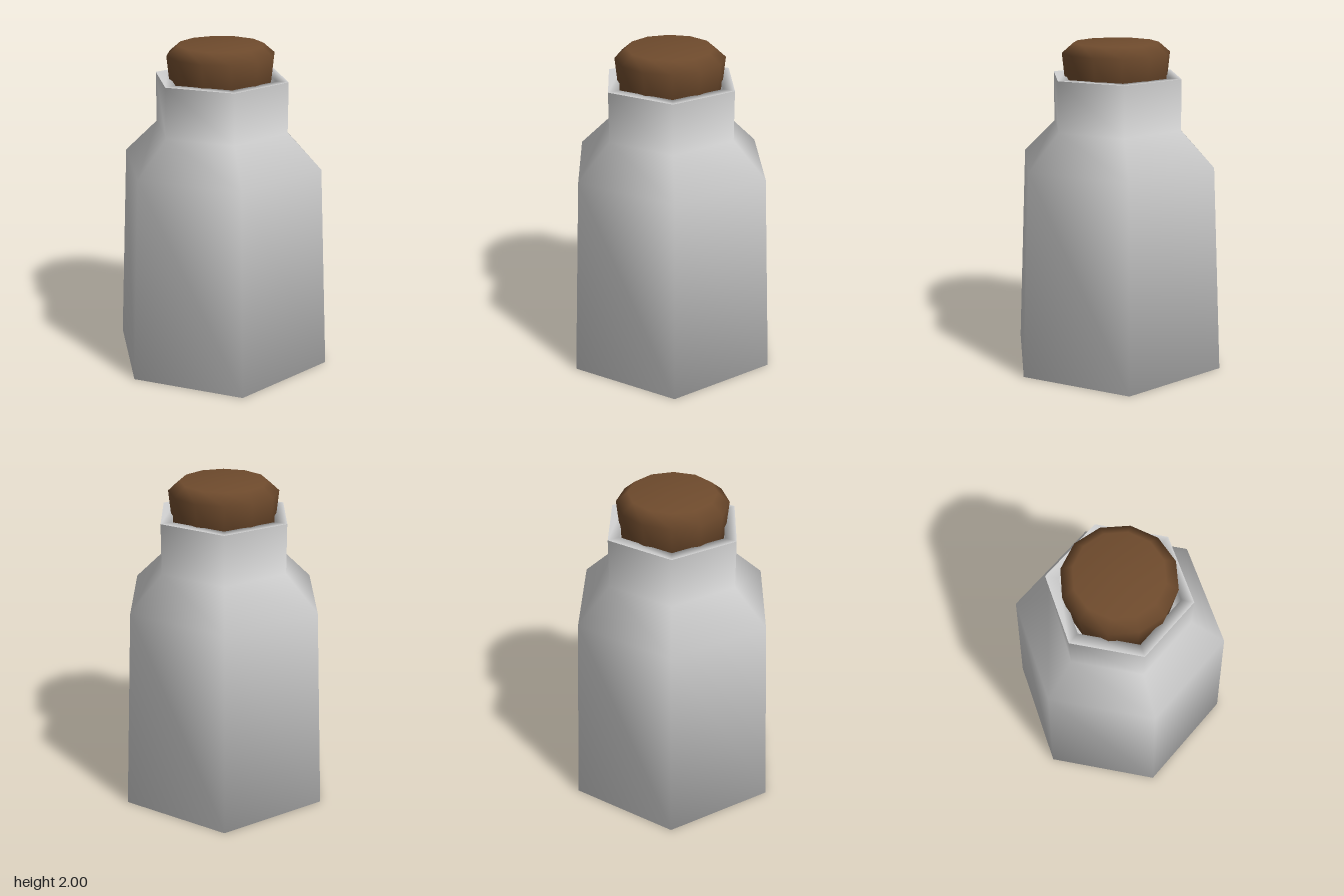
import * as THREE from 'three';

export function createModel() {
  const group = new THREE.Group();
  const glaze = new THREE.MeshStandardMaterial({ color: 0xd4d4d4 });
  glaze.name = 'pale grey';
  const cork = new THREE.MeshStandardMaterial({ color: 0x6f4b2d });
  cork.name = 'cork brown';

  // Turned part with smooth normals, from [radius, height] points
  function turned(name, points, sides, material) {
    const profile = points.map(([r, y]) => new THREE.Vector2(r, y));
    const mesh = new THREE.Mesh(new THREE.LatheGeometry(profile, sides), material);
    mesh.name = name;
    group.add(mesh);
  }

  // Six-sided body with shoulder and neck, closed underneath
  turned('bottleBody', [[0, 0], [0.705, 0], [0.64, 1.28], [0.425, 1.49], [0.425, 1.8]], 6, glaze);

  // Flat lip and the inside of the neck
  turned('neckRim', [[0.425, 1.8], [0.35, 1.8], [0.35, 1.55], [0, 1.55]], 6, glaze);

  // Tapered stopper with a bevelled top
  turned('stopper', [[0, 1.6], [0.295, 1.6], [0.33, 1.94], [0.26, 2], [0, 2]], 12, cork);

  return group;
}
